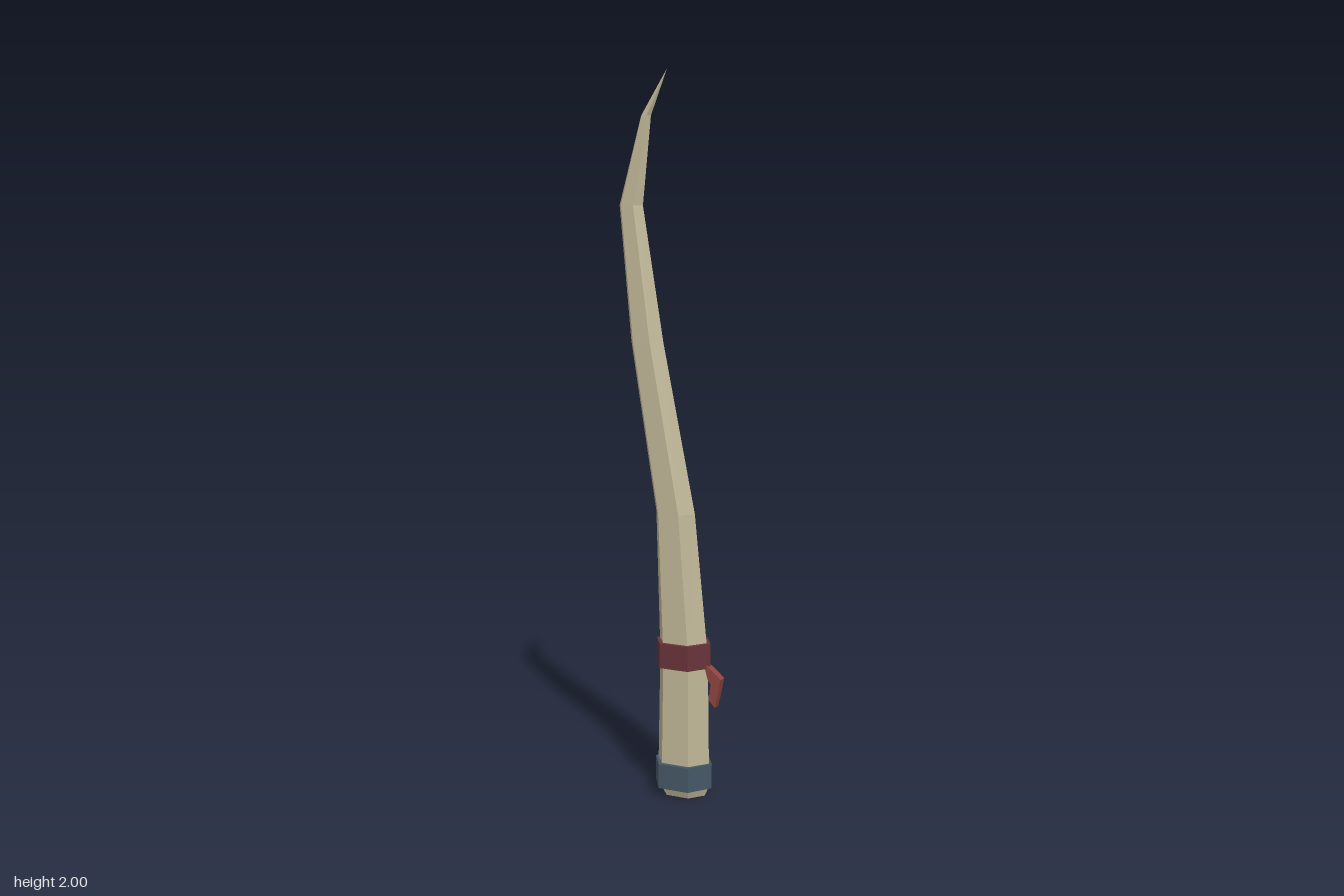
import * as THREE from 'three';

const mat = (name, color) => {
  const m = new THREE.MeshStandardMaterial({ color });
  m.name = name;
  return m;
};

// Flat-faced hexagonal loft; each section is [y, minX, maxX, halfDepth]
function hexLoft(name, sections, material) {
  const rings = sections.map(([y, x0, x1, z]) => {
    const c = (x0 + x1) / 2, r = (x1 - x0) / 2;
    return [[1, 0], [0.52, 1], [-0.52, 1], [-1, 0], [-0.52, -1], [0.52, -1]]
      .map(([u, w]) => [c + u * r, y, w * z]);
  });
  const pos = [];
  const tri = (a, b, c) => pos.push(...a, ...b, ...c);
  for (let i = 0; i < rings.length - 1; i++) {
    for (let k = 0; k < 6; k++) {
      const n = (k + 1) % 6, a = rings[i], b = rings[i + 1];
      tri(a[k], b[k], a[n]);
      tri(b[k], b[n], a[n]);
    }
  }
  // End caps
  const bottom = rings[0], top = rings[rings.length - 1];
  for (let k = 1; k < 5; k++) {
    tri(bottom[0], bottom[k], bottom[k + 1]);
    tri(top[0], top[k + 1], top[k]);
  }
  const geo = new THREE.BufferGeometry();
  geo.setAttribute('position', new THREE.Float32BufferAttribute(pos, 3));
  geo.computeVertexNormals();
  const mesh = new THREE.Mesh(geo, material);
  mesh.name = name;
  return mesh;
}

export function createModel() {
  const group = new THREE.Group();
  group.name = 'curvedHorn';
  const bone = mat('bone', 0xc0b797);
  const steel = mat('blueSteel', 0x455866);
  const maroon = mat('maroonCloth', 0x69343a);
  const red = mat('redCloth', 0x8f4540);

  // Curved, tapering horn
  group.add(hexLoft('horn', [
    [0, -0.025, 0.105, 0.043],
    [0.03, -0.042, 0.118, 0.054],
    [0.4, -0.035, 0.113, 0.051],
    [0.8, -0.047, 0.072, 0.045],
    [1.27, -0.124, -0.025, 0.036],
    [1.64, -0.159, -0.087, 0.025],
    [1.88, -0.092, -0.062, 0.012],
    [2.0, -0.0155, -0.0145, 0.0005],
  ], bone));

  // Collar at the base and cloth band around the grip
  group.add(hexLoft('baseCollar', [[0.025, -0.049, 0.126, 0.066], [0.095, -0.049, 0.126, 0.066]], steel));
  group.add(hexLoft('clothBand', [[0.37, -0.046, 0.121, 0.062], [0.44, -0.046, 0.121, 0.062]], maroon));

  // Hanging end of the band
  const s = new THREE.Shape([
    [0.105, 0.385], [0.118, 0.34], [0.127, 0.328], [0.121, 0.283],
    [0.14, 0.262], [0.158, 0.344], [0.125, 0.372],
  ].map(([x, y]) => new THREE.Vector2(x, y)));
  const geo = new THREE.ExtrudeGeometry(s, { depth: 0.024, bevelEnabled: false });
  geo.translate(0, 0, -0.012);
  const tail = new THREE.Mesh(geo, red);
  tail.name = 'clothTail';
  group.add(tail);

  return group;
}
